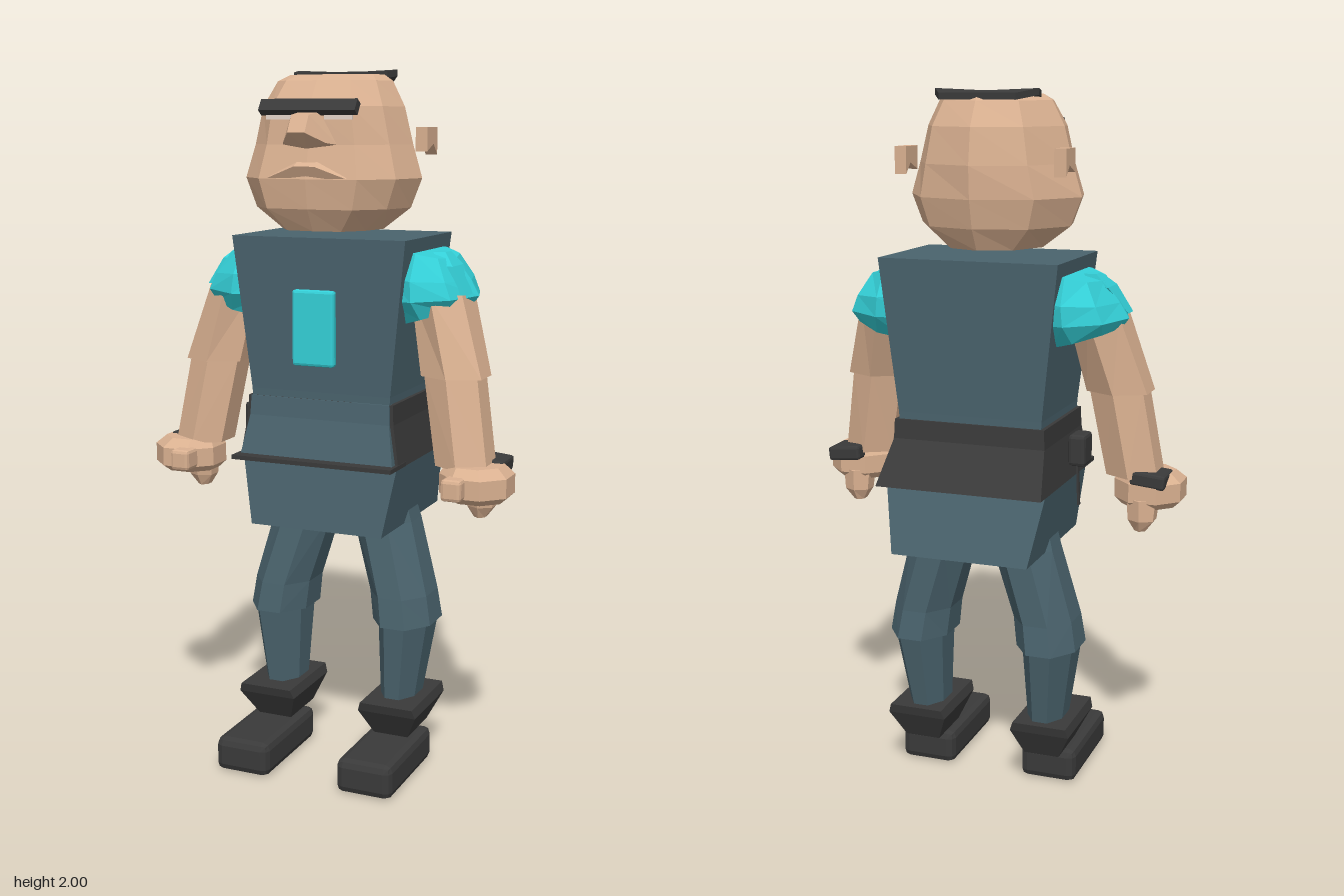
import * as THREE from 'three';
import { RoundedBoxGeometry } from 'three/addons/geometries/RoundedBoxGeometry.js';
import { ConvexGeometry } from 'three/addons/geometries/ConvexGeometry.js';

const mat = (name, color) => {
  const m = new THREE.MeshStandardMaterial({ color });
  m.name = name;
  m.flatShading = true;
  return m;
};

// Horizontal cross-sections
const ring = (cx, y, cz, rx, rz, n = 8, tilt = 0, turn = 0.5) =>
  Array.from({ length: n }, (_, i) => {
    const a = ((i + turn) / n) * Math.PI * 2;
    return [cx + Math.cos(a) * rx, y + Math.cos(a) * rx * tilt, cz + Math.sin(a) * rz];
  });
const rect = (x0, x1, y, z0, z1) => [[x1, y, z0], [x1, y, z1], [x0, y, z1], [x0, y, z0]];

// Skin closed rings into a capped solid; winding is fixed by signed volume
function loft(rings, sx = 1) {
  const tris = [];
  const n = rings[0].length;
  const mid = (r) => [0, 1, 2].map((k) => r.reduce((s, p) => s + p[k], 0) / n);
  const last = rings[rings.length - 1];
  const lo = mid(rings[0]), hi = mid(last);
  for (let i = 0; i < n; i++) {
    const j = (i + 1) % n;
    for (let r = 0; r < rings.length - 1; r++) {
      const a = rings[r], b = rings[r + 1];
      tris.push([a[i], b[i], b[j]], [a[i], b[j], a[j]]);
    }
    tris.push([lo, rings[0][i], rings[0][j]], [hi, last[j], last[i]]);
  }
  const V = (p) => new THREE.Vector3(p[0] * sx, p[1], p[2]);
  let volume = 0;
  const faces = tris.map((t) => t.map(V));
  faces.forEach(([a, b, c]) => { volume += a.dot(b.clone().cross(c)); });
  const pos = [];
  faces.forEach(([a, b, c]) => (volume < 0 ? [a, c, b] : [a, b, c]).forEach((p) => pos.push(p.x, p.y, p.z)));
  const g = new THREE.BufferGeometry();
  g.setAttribute('position', new THREE.Float32BufferAttribute(pos, 3));
  g.computeVertexNormals();
  return g;
}

export function createModel() {
  const model = new THREE.Group();
  const skin = mat('skin', 0xdab191);
  const slate = mat('slate cloth', 0x4a636d);
  const cyan = mat('cyan cloth', 0x34d0d8);
  const dark = mat('charcoal', 0x3a3a3a);
  const pale = mat('eye white', 0xe6d6cc);

  const add = (name, geo, material, x = 0, y = 0, z = 0, parent = model) => {
    const m = new THREE.Mesh(geo, material);
    m.name = name;
    m.position.set(x, y, z);
    parent.add(m);
    return m;
  };
  const box = (w, h, d) => new THREE.BoxGeometry(w, h, d);

  // Head: faceted egg with a broad jaw and rounded crown
  const headRing = ([y, w, zf, zb]) => [
    [w, y, 0.02], [0.88 * w, y, 0.6 * zf], [0.57 * w, y, 0.95 * zf], [0, y, zf],
    [-0.57 * w, y, 0.95 * zf], [-0.88 * w, y, 0.6 * zf], [-w, y, 0.02],
    [-0.65 * w, y, 0.7 * zb], [0, y, zb], [0.65 * w, y, 0.7 * zb],
  ];
  add('head', loft([
    [1.57, 0.14, 0.185, -0.13], [1.63, 0.22, 0.22, -0.165], [1.71, 0.252, 0.232, -0.185],
    [1.8, 0.225, 0.21, -0.19], [1.9, 0.2, 0.203, -0.175], [1.968, 0.165, 0.155, -0.135],
    [1.985, 0.14, 0.1, -0.115],
  ].map(headRing)), skin);

  // Face
  add('nose', new ConvexGeometry([
    [-0.08, 1.8, 0.2], [0.08, 1.8, 0.2], [-0.03, 1.885, 0.2], [0.03, 1.885, 0.2],
    [-0.062, 1.805, 0.237], [0.062, 1.805, 0.237], [-0.025, 1.878, 0.262], [0.025, 1.878, 0.262],
    [-0.025, 1.832, 0.289], [0.025, 1.832, 0.289], [0, 1.79, 0.225],
  ].map((p) => new THREE.Vector3(...p))), skin);
  const lipShape = new THREE.Shape([[-0.115, 0], [0.115, 0], [0.03, 0.035], [-0.03, 0.035]].map((p) => new THREE.Vector2(...p)));
  const lip = add('upperLip', new THREE.ExtrudeGeometry(lipShape, { depth: 0.03, bevelEnabled: false }), skin, 0, 1.725, 0.2);
  lip.rotation.x = 0.45;
  const brow = add('brow', box(0.28, 0.036, 0.024), dark, 0, 1.898, 0.207);
  brow.rotation.x = -0.6;
  add('hair', loft([1.97, 1.988].map((y) => [
    [0.15, y + 0.012, -0.05], [0.14, y + 0.006, 0.0], [-0.14, y + 0.006, 0.0],
    [-0.15, y + 0.012, -0.05], [-0.11, y, -0.125], [0.11, y, -0.125],
  ])), dark);

  // Notched ears and narrow eyes
  const earShape = new THREE.Shape([[-0.03, 1.845], [-0.11, 1.845], [-0.11, 1.77], [-0.08, 1.8], [-0.03, 1.78]]
    .map((p) => new THREE.Vector2(...p)));
  const earGeo = new THREE.ExtrudeGeometry(earShape, { depth: 0.034, bevelEnabled: false }).rotateY(-Math.PI / 2);
  for (const s of [-1, 1]) {
    add('ear', earGeo, skin, s > 0 ? 0.247 : -0.213);
    add('eye', box(0.08, 0.014, 0.008), pale, s * 0.085, 1.873, 0.205);
  }

  // Tunic, chest badge and skirt
  add('torso', loft([
    rect(-0.2, 0.2, 0.93, -0.185, 0.14), rect(-0.21, 0.21, 1.12, -0.19, 0.14), rect(-0.258, 0.258, 1.55, -0.21, 0.16),
  ]), slate);
  add('badge', new RoundedBoxGeometry(0.125, 0.21, 0.026, 1, 0.008), cyan, 0, 1.305, 0.178);
  add('skirt', loft([rect(-0.2, 0.2, 0.73, -0.28, 0.175), rect(-0.235, 0.235, 0.925, -0.225, 0.15)]), slate);

  // Flared belt with a cloth panel and a narrow ledge at its front
  add('belt', loft([
    rect(-0.242, 0.242, 0.925, -0.288, 0.155), rect(-0.222, 0.222, 1.045, -0.2, 0.145), rect(-0.22, 0.22, 1.1, -0.197, 0.142),
  ]), dark);
  add('beltFrontPanel', loft([
    rect(-0.232, 0.232, 0.932, 0.14, 0.178), rect(-0.212, 0.212, 1.045, 0.13, 0.152), rect(-0.21, 0.21, 1.1, 0.13, 0.147),
  ]), slate);
  add('beltLedge', box(0.484, 0.012, 0.115), dark, 0, 0.93, 0.156);

  // Hip pouch with hanging cord
  add('pouch', new RoundedBoxGeometry(0.05, 0.09, 0.08, 1, 0.01), dark, -0.263, 1.01, 0.0);
  const cord = add('pouchCord', box(0.006, 0.13, 0.012), dark, -0.258, 0.91, 0.0);
  cord.rotation.z = -0.04;

  for (const s of [-1, 1]) {
    const side = new THREE.Group();
    side.name = s > 0 ? 'leftLimbs' : 'rightLimbs';
    model.add(side);
    const part = (name, rings, material) => add(name, loft(rings, s), material, 0, 0, 0, side);

    // Leg
    part('thigh', [
      ring(0.197, 0.435, -0.045, 0.096, 0.135), ring(0.185, 0.52, -0.045, 0.094, 0.125),
      ring(0.125, 0.73, -0.06, 0.098, 0.108), ring(0.11, 0.85, -0.05, 0.08, 0.09),
    ], slate);
    part('shin', [ring(0.185, 0.19, -0.03, 0.055, 0.088), ring(0.2, 0.45, -0.045, 0.082, 0.13)], slate);
    part('bootCuff', [
      rect(0.135, 0.24, 0.105, -0.1, 0.06), rect(0.103, 0.28, 0.185, -0.137, 0.107), rect(0.112, 0.272, 0.212, -0.143, 0.115),
    ], dark);
    add('shoe', new RoundedBoxGeometry(0.167, 0.1, 0.34, 1, 0.022), dark, s * 0.19, 0.055, 0.113, side);

    // Sleeve fanning out of the shoulder, with a raised fold
    part('sleeve', [
      ring(0.285, 1.335, -0.025, 0.1, 0.14, 8, 0.3, 0), ring(0.27, 1.385, -0.028, 0.135, 0.178, 8, 0.05, 0),
      ring(0.265, 1.44, -0.032, 0.115, 0.175, 8, -0.05, 0), ring(0.262, 1.51, -0.035, 0.072, 0.13, 8, -0.25, 0),
    ], cyan);
    part('sleeveFold', [
      rect(0.345, 0.395, 1.4, 0.0, 0.05), rect(0.3, 0.35, 1.475, -0.05, 0.04), rect(0.28, 0.315, 1.51, -0.045, 0.0),
    ], cyan);

    // Arm, reaching a little further forward on the left
    const f = s > 0 ? 0.035 : 0;
    part('upperArm', [ring(0.37, 1.18, 0.03 + f * 0.7, 0.1, 0.088, 6), ring(0.31, 1.4, 0, 0.085, 0.11, 6)], skin);
    part('forearm', [ring(0.412, 0.94, 0.05 + f, 0.085, 0.085, 6), ring(0.367, 1.19, 0.03 + f * 0.7, 0.088, 0.082, 6)], skin);
    part('fist', [
      ring(0.452, 0.852, 0.065 + f, 0.08, 0.08), ring(0.452, 0.872, 0.07 + f, 0.103, 0.105),
      ring(0.452, 0.925, 0.07 + f, 0.103, 0.105), ring(0.445, 0.95, 0.065 + f, 0.08, 0.08),
    ], skin);
    part('curledFingers', [
      ring(0.443, 0.788, 0.005 + f, 0.018, 0.025, 6), ring(0.446, 0.82, 0.005 + f, 0.042, 0.042, 6),
      ring(0.446, 0.88, 0.01 + f, 0.048, 0.048, 6),
    ], skin);
    add('thumb', new RoundedBoxGeometry(0.058, 0.06, 0.09, 1, 0.01), skin, s * 0.42, 0.9, 0.158 + f, side);
    const band = add('wristband', new RoundedBoxGeometry(0.1, 0.042, 0.105, 1, 0.008), dark, s * 0.465, 0.938, 0.024, side);
    band.rotation.z = -s * 0.1;
  }
  return model;
}
